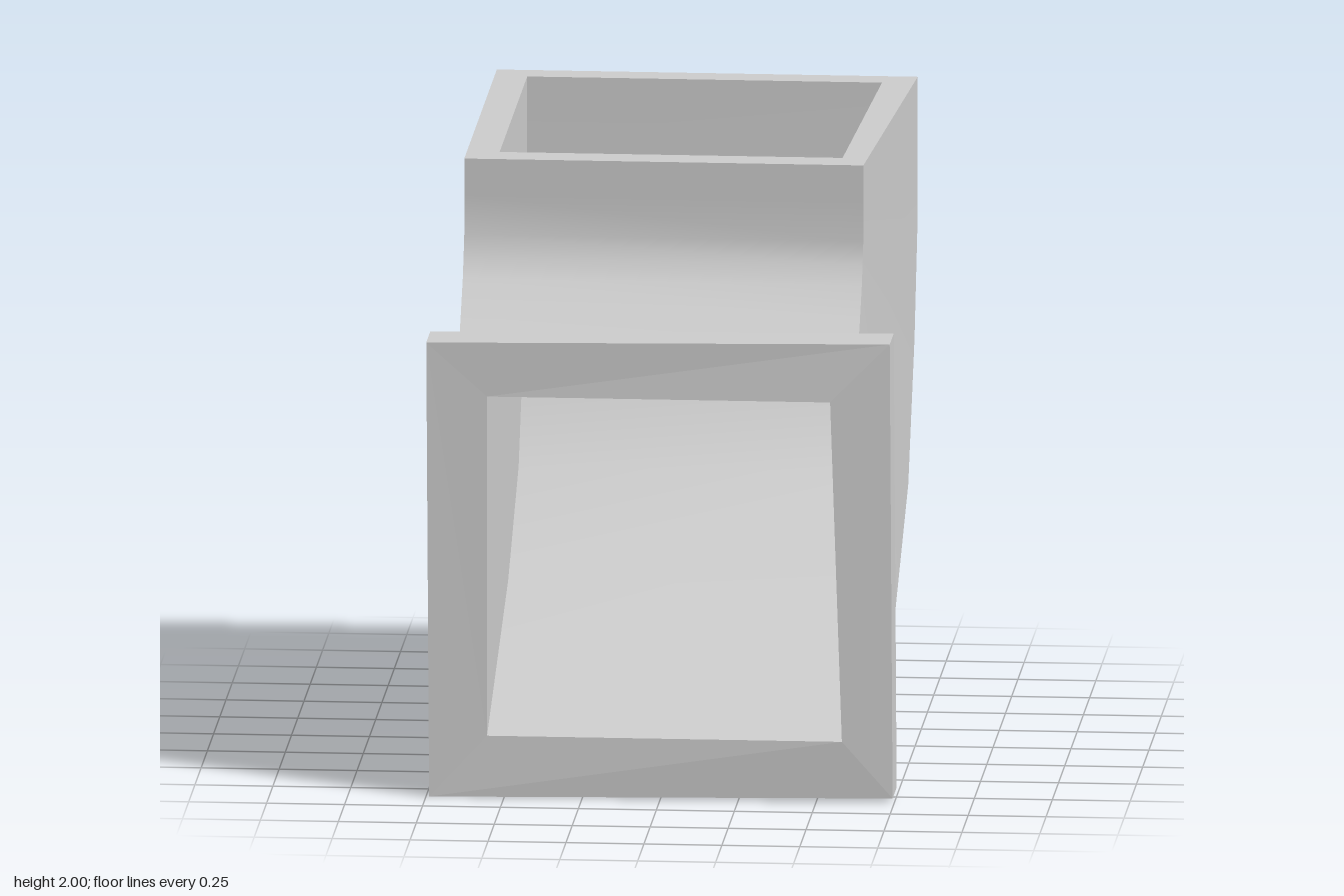
import * as THREE from 'three';

const material = new THREE.MeshStandardMaterial({ color: 0xcccccc, side: THREE.DoubleSide });

// Ribbon of quads between two polylines of equal length
function strip(name, a, b, { flip = false, flat = false } = {}) {
  const n = a.length, index = [];
  for (let i = 0; i < n - 1; i++) {
    const quad = [i, i + 1, n + i + 1, i, n + i + 1, n + i];
    index.push(...(flip ? quad.reverse() : quad));
  }
  let geo = new THREE.BufferGeometry();
  geo.setAttribute('position', new THREE.Float32BufferAttribute([...a, ...b].flat(), 3));
  geo.setIndex(index);
  if (flat) geo = geo.toNonIndexed();
  geo.computeVertexNormals();
  const mesh = new THREE.Mesh(geo, material);
  mesh.name = name;
  return mesh;
}

const rail = (x, zy) => zy.map(([z, y], i) => [Array.isArray(x) ? x[i] : x, y, z]);
const closed = (loop) => [...loop, loop[0]];

export function createModel() {
  const group = new THREE.Group();
  group.name = 'ductElbow';

  // Elbow profiles as [z, y], from the top opening down to the flange
  const outerThroat = [[0.45, 2], [0.45, 1.88], [0.45, 1.75], [0.48, 1.68], [0.51, 1.62], [0.59, 1.52], [0.685, 1.41]];
  const outerHeel = [[-0.86, 2], [-0.857, 1.77], [-0.85, 1.52], [-0.73, 1.17], [-0.48, 0.75], [0.06, 0.44], [0.685, 0.1]];
  const innerThroat = [[0.345, 2], [0.345, 1.87], [0.345, 1.73], [0.38, 1.63], [0.44, 1.54], [0.57, 1.42], [0.845, 1.31]];
  const innerHeel = [[-0.765, 2], [-0.762, 1.77], [-0.755, 1.54], [-0.64, 1.21], [-0.42, 0.8], [0, 0.52], [0.85, 0.2]];

  // Corner rails: throat left/right, heel right/left; the heel has a slight dent and bulge
  const outer = [
    rail(-0.66, outerThroat), rail(0.62, outerThroat), rail(0.69, outerHeel),
    rail([-0.66, -0.66, -0.66, -0.66, -0.61, -0.695, -0.66], outerHeel),
  ];
  const inner = [
    rail(-0.555, innerThroat), rail(0.545, innerThroat),
    rail(0.583, innerHeel), rail(-0.555, innerHeel),
  ];

  // Walls, smooth along the bend and sharp at the corners
  ['throat', 'leftSide', 'heel', 'rightSide'].forEach((side, i) => {
    const j = (i + 1) % 4;
    group.add(strip(side + 'OuterWall', outer[i], outer[j]));
    group.add(strip(side + 'InnerWall', inner[i], inner[j], { flip: true }));
  });

  // Rim around the top opening
  const ends = (rails, k) => rails.map((r) => r[k]);
  group.add(strip('topRim', closed(ends(outer, 0)), closed(ends(inner, 0)), { flat: true }));

  // Flange, slightly skewed; loops run bottom right, bottom left, top left, top right
  const front = [[-0.74, 0, 0.86], [0.745, 0.015, 0.84], [0.735, 1.5, 0.83], [-0.75, 1.485, 0.85]];
  const back = front.map(([x, y, z]) => [x, y, z - 0.163]);
  const order = [3, 2, 1, 0];
  const opening = order.map((k) => inner[k][6]);
  const neck = order.map((k) => outer[k][6]);
  const flange = new THREE.Group();
  flange.name = 'flange';
  flange.add(
    strip('flangeFront', closed(front), closed(opening), { flat: true }),
    strip('flangeEdge', closed(back), closed(front), { flat: true }),
    strip('flangeBack', closed(neck), closed(back), { flat: true }),
  );
  group.add(flange);
  return group;
}
